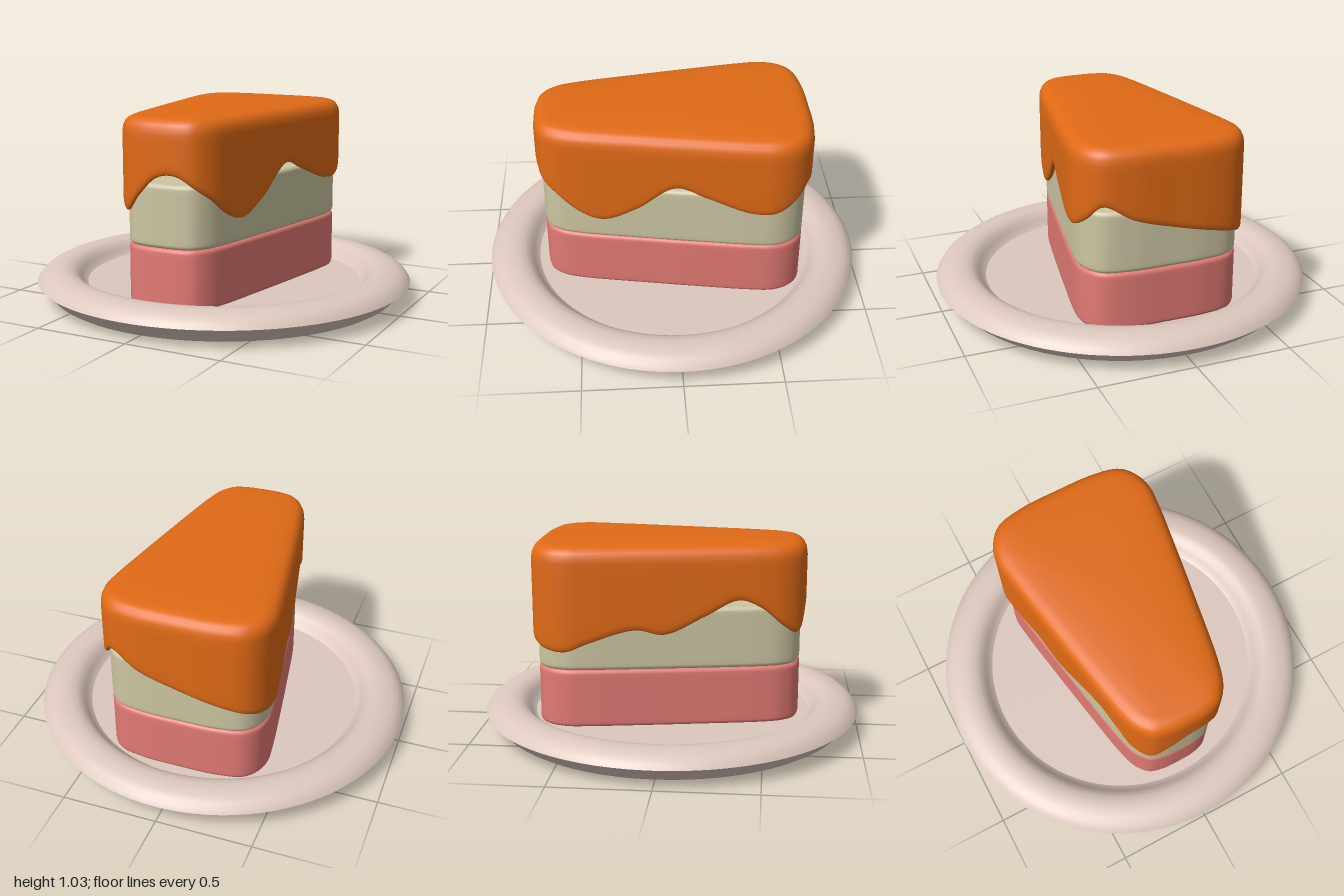
import * as THREE from 'three';

// Half outline of the slice, back to front: x, z, hem height on +x, hem height on -x
const HALF = [
  [0, -0.71, 0.6, 0.6], [0.2, -0.705, 0.66, 0.55], [0.345, -0.672, 0.735, 0.515],
  [0.415, -0.6, 0.66, 0.49], [0.445, -0.5, 0.607, 0.485], [0.436, -0.38, 0.605, 0.53],
  [0.4, -0.15, 0.685, 0.595], [0.375, 0, 0.735, 0.57], [0.34, 0.2, 0.59, 0.66],
  [0.31, 0.37, 0.51, 0.74], [0.288, 0.48, 0.54, 0.7], [0.25, 0.6, 0.63, 0.6],
  [0.19, 0.675, 0.69, 0.555], [0.1, 0.705, 0.745, 0.65], [0, 0.71, 0.735, 0.735],
];
const N = 200;

// Closed curve round the slice; its y carries the drip height
function sampleOutline() {
  const left = HALF.map(([x, z, h]) => new THREE.Vector3(x, h, z));
  const right = HALF.slice(1, -1).reverse().map(([x, z, , h]) => new THREE.Vector3(-x, h, z));
  const pts = new THREE.CatmullRomCurve3([...left, ...right], true).getSpacedPoints(N).slice(0, N);
  return pts.map((p, i) => {
    const a = pts[(i + N - 1) % N], b = pts[(i + 1) % N];
    const tx = b.x - a.x, tz = b.z - a.z, len = Math.hypot(tx, tz);
    return { x: p.x, z: p.z, hem: p.y, nx: tz / len, nz: -tx / len };
  });
}

// Skin rings of { inset, y(hem), scale } along the outline
function loft(outline, rings) {
  const pos = [], index = [];
  for (const { inset, y, scale = 1 } of rings) {
    for (const p of outline) {
      pos.push((p.x - p.nx * inset) * scale, typeof y === 'function' ? y(p.hem) : y, (p.z - p.nz * inset) * scale);
    }
  }
  for (let j = 0; j < rings.length - 1; j++) {
    for (let i = 0; i < N; i++) {
      const a = j * N + i, b = j * N + (i + 1) % N;
      index.push(a, a + N, b, b, a + N, b + N);
    }
  }
  const geo = new THREE.BufferGeometry();
  geo.setAttribute('position', new THREE.Float32BufferAttribute(pos, 3));
  geo.setIndex(index);
  geo.computeVertexNormals();
  return geo;
}

// Cake layer with softly rounded top and bottom edges
function layerGeometry(outline, y0, y1) {
  const inset = 0.028, r = 0.022, rings = [{ inset: inset + r, y: y0, scale: 0 }, { inset: inset + r, y: y0, scale: 0.9 }];
  const arc = (k) => r * (1 - Math.sin(k * Math.PI / 8));
  for (let k = 0; k <= 4; k++) rings.push({ inset: inset + arc(k), y: y0 + arc(4 - k) });
  rings.push({ inset, y: y0 + r + 0.02 }, { inset, y: y1 - r - 0.02 });
  for (let k = 4; k >= 0; k--) rings.push({ inset: inset + arc(k), y: y1 - arc(4 - k) });
  rings.push({ inset: inset + r, y: y1, scale: 0.9 }, { inset: inset + r, y: y1, scale: 0 });
  return loft(outline, rings);
}

// Frosting shell: inner ceiling, inner wall, rounded hem, outer wall, domed top
function frostingGeometry(outline) {
  const rings = [
    { inset: 0.04, y: 0.8, scale: 0 }, { inset: 0.04, y: 0.8, scale: 0.95 }, { inset: 0.04, y: 0.79 },
    { inset: 0.036, y: (h) => h + 0.035 }, { inset: 0.03, y: (h) => h + 0.014 },
    { inset: 0.02, y: (h) => h + 0.002 }, { inset: 0.01, y: (h) => h + 0.003 },
    { inset: 0.003, y: (h) => h + 0.014 },
  ];
  for (let k = 0; k <= 6; k++) rings.push({ inset: 0, y: (h) => THREE.MathUtils.lerp(h + 0.035, 0.94, k / 6) });
  rings.push(
    { inset: 0.004, y: 0.968 }, { inset: 0.014, y: 0.99 }, { inset: 0.03, y: 1.006 },
    { inset: 0.05, y: 1.015 }, { inset: 0.08, y: 1.021 }, { inset: 0.08, y: 1.028, scale: 0.8 },
    { inset: 0.08, y: 1.033, scale: 0.5 }, { inset: 0.08, y: 1.035, scale: 0.2 }, { inset: 0.08, y: 1.035, scale: 0 },
  );
  return loft(outline, rings);
}

export function createModel() {
  const model = new THREE.Group();
  const add = (parent, name, geometry, color) => {
    const mesh = new THREE.Mesh(geometry, new THREE.MeshStandardMaterial({ color }));
    mesh.name = name;
    parent.add(mesh);
  };

  // Plate, split where the surface has a crease
  const plate = new THREE.Group();
  plate.name = 'plate';
  const profiles = {
    plateUnderside: [[0, 0], [0.5, 0.002], [0.84, 0.008], [0.9, 0.015], [0.925, 0.03], [0.945, 0.055], [0.97, 0.075], [1, 0.1]],
    plateRim: [[1, 0.1], [0.985, 0.122], [0.96, 0.143], [0.93, 0.156], [0.89, 0.164], [0.85, 0.166], [0.815, 0.159],
      [0.788, 0.142], [0.768, 0.117], [0.752, 0.097], [0.735, 0.085]],
    plateFloor: [[0.735, 0.085], [0, 0.085]],
  };
  for (const [name, pts] of Object.entries(profiles)) {
    add(plate, name, new THREE.LatheGeometry(pts.map(([r, y]) => new THREE.Vector2(r, y)), 96), 0xdcc8be);
  }
  model.add(plate);

  // Slice of cake
  const outline = sampleOutline();
  add(model, 'lowerCakeLayer', layerGeometry(outline, 0.08, 0.386), 0xe27a74);
  add(model, 'upperCakeLayer', layerGeometry(outline, 0.384, 0.7), 0xcdc6a3);
  add(model, 'drippingFrosting', frostingGeometry(outline), 0xe06a16);
  return model;
}
